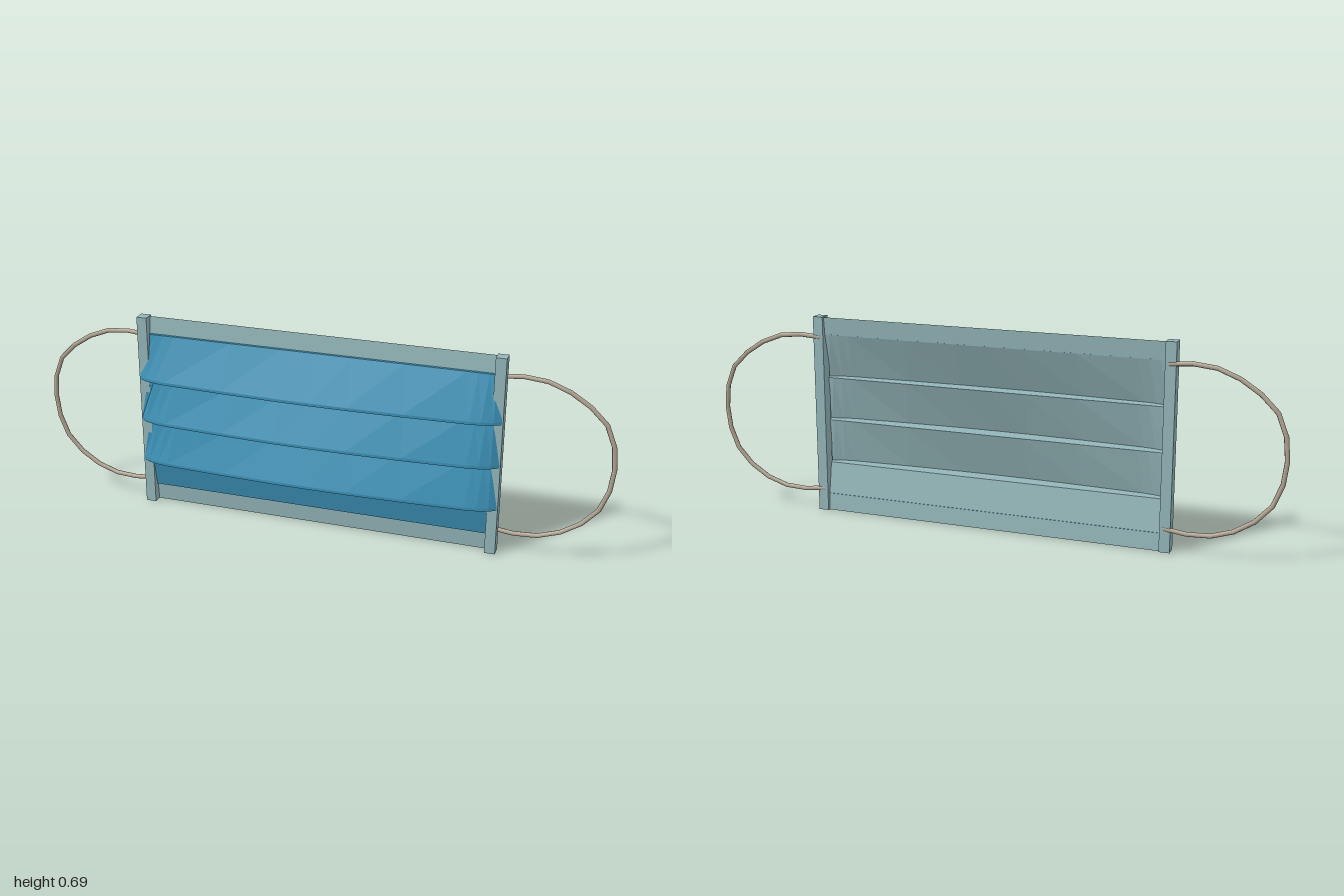
import * as THREE from 'three';

// Pleat depth across the width: [fraction of half width, share of full depth]
const BULGE = [[1, 0], [0.96, 0.3], [0.9, 0.52], [0.84, 0.63], [0.5, 0.85], [0.2, 0.98], [0, 1]];
const COLUMNS = [...BULGE.map(([t, f]) => [-t, f]), ...BULGE.slice(0, -1).reverse()];

// Sheet swept across x from rows of [y, z at the edge, z at the middle, half width]
function sheet(rows, material, name) {
  const pos = [], index = [], n = COLUMNS.length;
  for (const [y, zEdge, zMid, half] of rows) {
    for (const [t, f] of COLUMNS) pos.push(t * half, y, zEdge + (zMid - zEdge) * f);
  }
  for (let r = 0; r < rows.length - 1; r++) {
    for (let c = 0; c < n - 1; c++) {
      const a = r * n + c, b = a + n;
      index.push(a, b, a + 1, a + 1, b, b + 1);
    }
  }
  const indexed = new THREE.BufferGeometry();
  indexed.setAttribute('position', new THREE.Float32BufferAttribute(pos, 3));
  indexed.setIndex(index);
  const geo = indexed.toNonIndexed(); // crisp folds
  geo.computeVertexNormals();
  const mesh = new THREE.Mesh(geo, material);
  mesh.name = name;
  return mesh;
}

export function createModel() {
  const blue = new THREE.MeshStandardMaterial({ color: 0x3b90b5, side: THREE.DoubleSide });
  blue.name = 'blue outer fabric';
  const pale = new THREE.MeshStandardMaterial({ color: 0x93b5b8, side: THREE.DoubleSide });
  pale.name = 'pale inner fabric';
  const cord = new THREE.MeshStandardMaterial({ color: 0xb0a392 });
  cord.name = 'elastic cord';

  const mask = new THREE.Group();
  mask.name = 'faceMask';

  // Each pleat: height of its lip and how far it stands out at the middle
  const pleats = [[0.47, 0.045], [0.318, 0.053], [0.164, 0.046]];
  const outer = [[0.632, -0.031, -0.031, 0.605], [0.63, -0.024, -0.024, 0.605]];
  const inner = [[0.692, -0.036, -0.036, 0.61], [0.63, -0.03, -0.03, 0.605]];
  for (const [y, z] of pleats) {
    outer.push(
      [y + 0.01, -0.003, z, 0.632],
      [y, -0.003, z, 0.632],
      [y, -0.006, -0.006, 0.605]
    );
    inner.push(
      [y + 0.008, -0.008, z - 0.007, 0.625],
      [y + 0.006, -0.012, -0.012, 0.605]
    );
  }
  outer.push([0.062, -0.026, -0.026, 0.605], [0.06, -0.032, -0.032, 0.605]);
  inner.push([0.06, -0.031, -0.031, 0.605], [0, -0.036, -0.036, 0.61]);
  mask.add(sheet(outer, blue, 'outerPleatedLayer'));
  mask.add(sheet(inner, pale, 'innerLayer'));

  for (const side of [1, -1]) {
    const label = side > 0 ? 'left' : 'right';

    // Side binding strip
    const strip = new THREE.Mesh(new THREE.BoxGeometry(0.036, 0.694, 0.04), pale);
    strip.position.set(side * 0.617, 0.347, -0.025);
    strip.name = label + 'SideStrip';
    mask.add(strip);

    // Ear loop: a flattened half round cord
    const path = [[0.61, 0.622], [0.7, 0.628], [0.79, 0.613], [0.88, 0.565], [0.95, 0.505],
      [0.983, 0.43], [0.992, 0.35], [0.983, 0.27], [0.95, 0.19], [0.88, 0.123],
      [0.79, 0.08], [0.7, 0.07], [0.61, 0.08]]
      .map(([x, y]) => new THREE.Vector3(side * x, y, -0.039 - 0.007 * (x - 0.61) / 0.38));
    const loop = new THREE.Mesh(
      new THREE.TubeGeometry(new THREE.CatmullRomCurve3(path), 14, 0.008, 8), cord);
    loop.name = label + 'EarLoop';
    mask.add(loop);
  }
  return mask;
}
